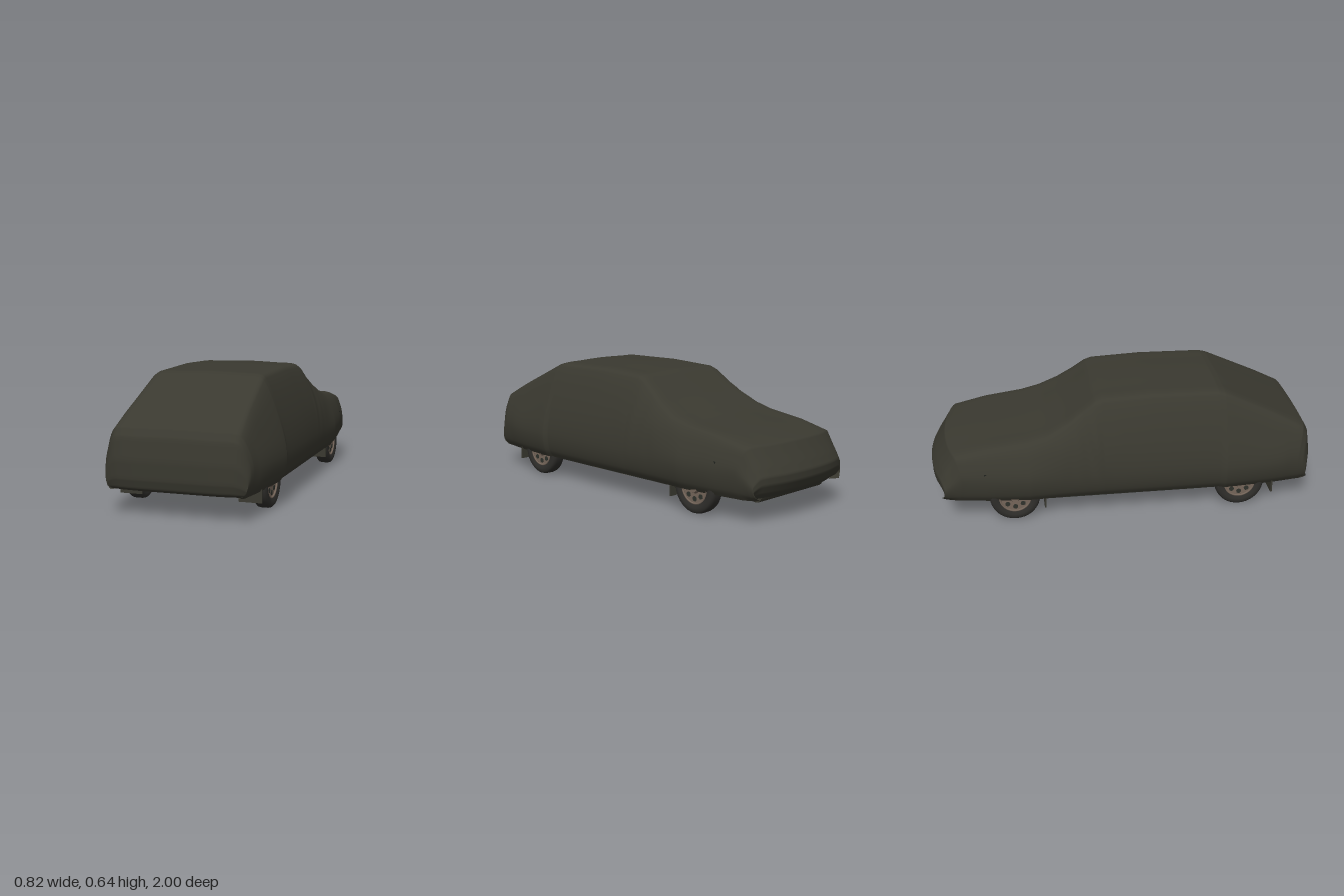
import * as THREE from 'three';

const mat = (name, color, double = false) => {
  const m = new THREE.MeshStandardMaterial({ color });
  m.name = name;
  if (double) m.side = THREE.DoubleSide;
  return m;
};

// Cover cross-sections, tail to nose:
// z, belt half-width, shoulder half-width and y, roof edge half-width and y, centre top y
const HEM = 0.115, BELT = 0.25;
const sections = [
  [0.96, 0.365, 0.345, 0.34, 0.315, 0.40, 0.42],
  [0.75, 0.39, 0.35, 0.39, 0.30, 0.5, 0.522],
  [0.53, 0.408, 0.367, 0.42, 0.29, 0.602, 0.627],
  [0.49, 0.397, 0.365, 0.42, 0.288, 0.611, 0.638],
  [0.15, 0.397, 0.367, 0.42, 0.288, 0.615, 0.644],
  [-0.11, 0.395, 0.367, 0.42, 0.288, 0.603, 0.633],
  [-0.15, 0.395, 0.367, 0.415, 0.29, 0.59, 0.617],
  [-0.22, 0.395, 0.367, 0.40, 0.30, 0.538, 0.567],
  [-0.3, 0.395, 0.37, 0.39, 0.318, 0.485, 0.512],
  [-0.4, 0.398, 0.37, 0.37, 0.338, 0.432, 0.462],
  [-0.5, 0.402, 0.37, 0.355, 0.342, 0.403, 0.436],
  [-0.7, 0.385, 0.36, 0.34, 0.335, 0.383, 0.408],
  [-0.86, 0.362, 0.345, 0.31, 0.325, 0.35, 0.37],
];
// End faces, from the outermost section: z, hem y, top y, width factor
const tailFace = [[0.985, 0.117, 0.375, 0.985], [1, 0.122, 0.27, 0.965], [0.998, 0.124, 0.18, 0.945],
  [0.985, 0.12, 0.135, 0.925], [0.965, 0.117, 0.12, 0.91]];
const noseFace = [[-0.89, 0.117, 0.32, 0.98], [-0.918, 0.12, 0.275, 0.965], [-0.94, 0.126, 0.235, 0.95],
  [-0.938, 0.128, 0.195, 0.93], [-0.915, 0.122, 0.15, 0.91], [-0.885, 0.117, 0.122, 0.89]];

// Right half outline of one section, hem to top centre
const outline = ([z, wm, ws, ys, we, ye, yt]) => [
  [wm - 0.035, HEM], [wm - 0.012, HEM + 0.04], [wm, BELT], [ws, ys], [we, ye],
  [we - 0.025, ye + 0.65 * (yt - ye)], [we * 0.55, yt - 0.15 * (yt - ye)], [0, yt],
].map(([x, y]) => new THREE.Vector3(x, y, z));

// End outlines squash the outermost section between a new hem and top
const endOutlines = (section, face) => face.map(([z, hem, top, k]) => outline(section).map(
  p => new THREE.Vector3(p.x * k, hem + (p.y - HEM) * (top - hem) / (section[6] - HEM), z)));

function coverGeometry() {
  const outlines = [
    ...endOutlines(sections[0], tailFace).reverse(),
    ...sections.map(outline),
    ...endOutlines(sections[sections.length - 1], noseFace),
  ];
  const rings = [];
  const addRing = half => {
    const mirrored = half.slice(0, -1).reverse().map(p => new THREE.Vector3(-p.x, p.y, p.z));
    const curve = new THREE.CatmullRomCurve3([...half, ...mirrored]);
    rings.push(curve.getPoints(56).map(({ x, y, z }) => {
      // soft folds hang beside the windscreen, deeper on the right
      const fold = Math.max(0, 1 - Math.abs(z + 0.17) / 0.2) * Math.max(0, 1 - Math.abs(y - 0.4) / 0.18);
      const px = x + Math.sign(x) * (x < 0 ? 0.006 : 0.002) * fold * Math.sin(z * 65 + y * 12);
      // nose bows forward and all corners round off in plan
      const nose = THREE.MathUtils.smoothstep(-z, 0.6, 0.86);
      const tail = THREE.MathUtils.smoothstep(z, 0.8, 0.97);
      const corner = (px / 0.36) ** 6;
      return [px, y, z - nose * (0.06 * (1 - (px / 0.36) ** 2) - 0.02 * corner) - tail * 0.045 * corner];
    }));
  };
  const steps = 5;
  outlines.slice(0, -1).forEach((half, i) => {
    for (let k = 0; k < steps; k++) addRing(half.map((p, j) => p.clone().lerp(outlines[i + 1][j], k / steps)));
  });
  addRing(outlines[outlines.length - 1]);

  const index = [];
  const count = rings[0].length;
  for (let i = 0; i < rings.length - 1; i++) {
    for (let j = 0; j < count - 1; j++) {
      const a = i * count + j, b = a + count;
      index.push(a, b, a + 1, b, b + 1, a + 1);
    }
  }
  const geo = new THREE.BufferGeometry();
  geo.setAttribute('position', new THREE.Float32BufferAttribute(rings.flat(2), 3));
  geo.setIndex(index);
  geo.computeVertexNormals();
  return geo;
}

export function createModel() {
  const car = new THREE.Group();
  car.name = 'coveredCar';
  const cloth = mat('cover cloth', 0x3a3930, true);
  const rubber = mat('tyre rubber', 0x2f2e2b);
  const rimMetal = mat('rim metal', 0x75665a);
  const floorBlack = mat('floor black', 0x20231f);
  const rust = mat('rusty red', 0x5e302b);
  const darkRust = mat('dark red', 0x3f211d);
  const steel = mat('dark steel', 0x30332d);
  const tan = mat('tan metal', 0x756854);

  const add = (name, geo, m, x = 0, y = 0, z = 0, parent = car) => {
    const mesh = new THREE.Mesh(geo, m);
    mesh.name = name;
    mesh.position.set(x, y, z);
    parent.add(mesh);
    return mesh;
  };
  const box = (name, m, w, h, d, x, y, z) => add(name, new THREE.BoxGeometry(w, h, d), m, x, y, z);
  const tube = (name, m, r, pts) => {
    const path = new THREE.CatmullRomCurve3(pts.map(p => new THREE.Vector3(...p)), false, 'centripetal');
    add(name, new THREE.TubeGeometry(path, 50, r, 8), m);
  };

  add('cover', coverGeometry(), cloth);

  // Floor pan, notched around the wheels
  box('floorCentre', floorBlack, 0.54, 0.012, 1.84, 0, 0.146, 0.02);
  box('floorMiddle', floorBlack, 0.72, 0.012, 0.8, 0, 0.145, 0.01);
  box('floorTail', floorBlack, 0.62, 0.012, 0.18, 0, 0.145, 0.86);
  box('floorNose', floorBlack, 0.62, 0.012, 0.14, 0, 0.145, -0.84);
  const chin = add('chin', new THREE.CylinderGeometry(0.035, 0.035, 0.48, 16), cloth, 0, 0.123, -0.865);
  chin.rotation.z = Math.PI / 2;

  // Wheels: rounded tyre, rim, hub and dark slots
  const tyreGeo = new THREE.LatheGeometry([
    [0.082, -0.03], [0.1, -0.038], [0.118, -0.036], [0.127, -0.028], [0.13, -0.015],
    [0.13, 0.015], [0.127, 0.028], [0.118, 0.036], [0.1, 0.038], [0.082, 0.03],
  ].map(p => new THREE.Vector2(...p)), 36);
  for (const s of [-1, 1]) {
    for (const z of [0.605, -0.575]) {
      const wheel = new THREE.Group();
      wheel.name = z > 0 ? 'rearWheel' : 'frontWheel';
      wheel.position.set(s * 0.328, 0.13, z);
      wheel.rotation.z = -s * Math.PI / 2;
      add('tyre', tyreGeo, rubber, 0, 0, 0, wheel);
      add('rim', new THREE.CylinderGeometry(0.083, 0.083, 0.048, 32), rimMetal, 0, 0, 0, wheel);
      const lip = add('rimLip', new THREE.TorusGeometry(0.08, 0.005, 6, 32), rimMetal, 0, 0.028, 0, wheel);
      lip.rotation.x = Math.PI / 2;
      add('hub', new THREE.CylinderGeometry(0.022, 0.03, 0.014, 16), rimMetal, 0, 0.03, 0, wheel);
      for (let k = 0; k < 8; k++) {
        const a = k * Math.PI / 4;
        add('rimSlot', new THREE.CylinderGeometry(0.013, 0.013, 0.003, 10), steel,
          Math.cos(a) * 0.056, 0.025, Math.sin(a) * 0.056, wheel);
      }
      car.add(wheel);
      box('wheelArch', floorBlack, 0.11, 0.01, 0.3, s * 0.32, 0.28, z);
    }
    box('sill', steel, 0.03, 0.03, 0.8, s * 0.345, 0.128, 0.01);
    box('sillStrip', tan, 0.012, 0.008, 0.5, s * 0.338, 0.111, 0.08);
    box('floorRail', steel, 0.035, 0.02, 1.2, s * 0.17, 0.135, 0);
    for (const z of [-0.05, 0.23]) box('floorPanel', steel, 0.1, 0.006, 0.2, s * 0.25, 0.137, z);
    // Mud flaps
    box('rearMudFlap', cloth, 0.115, 0.09, 0.009, s * 0.303, 0.105, 0.78);
    box('frontMudFlap', cloth, 0.08, 0.075, 0.009, s * 0.325, 0.098, -0.42);
    // Suspension arms
    tube('trailingArm', steel, 0.012, [[s * 0.2, 0.125, 0.36], [s * 0.24, 0.115, 0.5], [s * 0.3, 0.12, 0.6]]);
    for (const z of [-0.5, -0.66]) tube('wishbone', steel, 0.011, [[s * 0.13, 0.12, z], [s * 0.3, 0.115, -0.58]]);
  }

  // Axle beams and underside fittings
  box('rearBeam', steel, 0.52, 0.025, 0.03, 0, 0.093, 0.6);
  box('tailCrossmember', steel, 0.5, 0.015, 0.03, 0, 0.135, 0.86);
  box('frontBeam', steel, 0.28, 0.025, 0.05, 0, 0.12, -0.58);
  box('gearbox', steel, 0.14, 0.035, 0.28, 0.03, 0.13, -0.62);
  tube('trackRod', tan, 0.006, [[-0.25, 0.105, 0.5], [0.08, 0.118, 0.55]]);
  for (let k = 0; k < 4; k++) box('coolingFin', tan, 0.04, 0.004, 0.02, 0.11, 0.087 + k * 0.008, 0.62);
  box('fuelTank', darkRust, 0.24, 0.025, 0.2, 0.08, 0.13, 0.45);
  box('heatShield', darkRust, 0.13, 0.008, 0.22, 0.2, 0.137, -0.26);

  // Exhaust with two silencers
  tube('exhaustPipe', rust, 0.014, [
    [-0.02, 0.125, -0.78], [-0.08, 0.118, -0.7], [-0.09, 0.113, -0.38], [0, 0.11, -0.22], [0, 0.11, 0.05],
    [-0.07, 0.113, 0.34], [-0.17, 0.122, 0.46], [-0.14, 0.125, 0.57], [-0.125, 0.128, 0.7], [-0.125, 0.132, 0.93],
  ]);
  for (const [x, y, z, l] of [[0, 0.115, -0.11, 0.19], [-0.125, 0.138, 0.8, 0.2]]) {
    const can = add('silencer', new THREE.CylinderGeometry(0.038, 0.038, l, 18), rust, x, y, z);
    can.rotation.x = Math.PI / 2;
    can.scale.z = 0.7;
  }
  return car;
}
